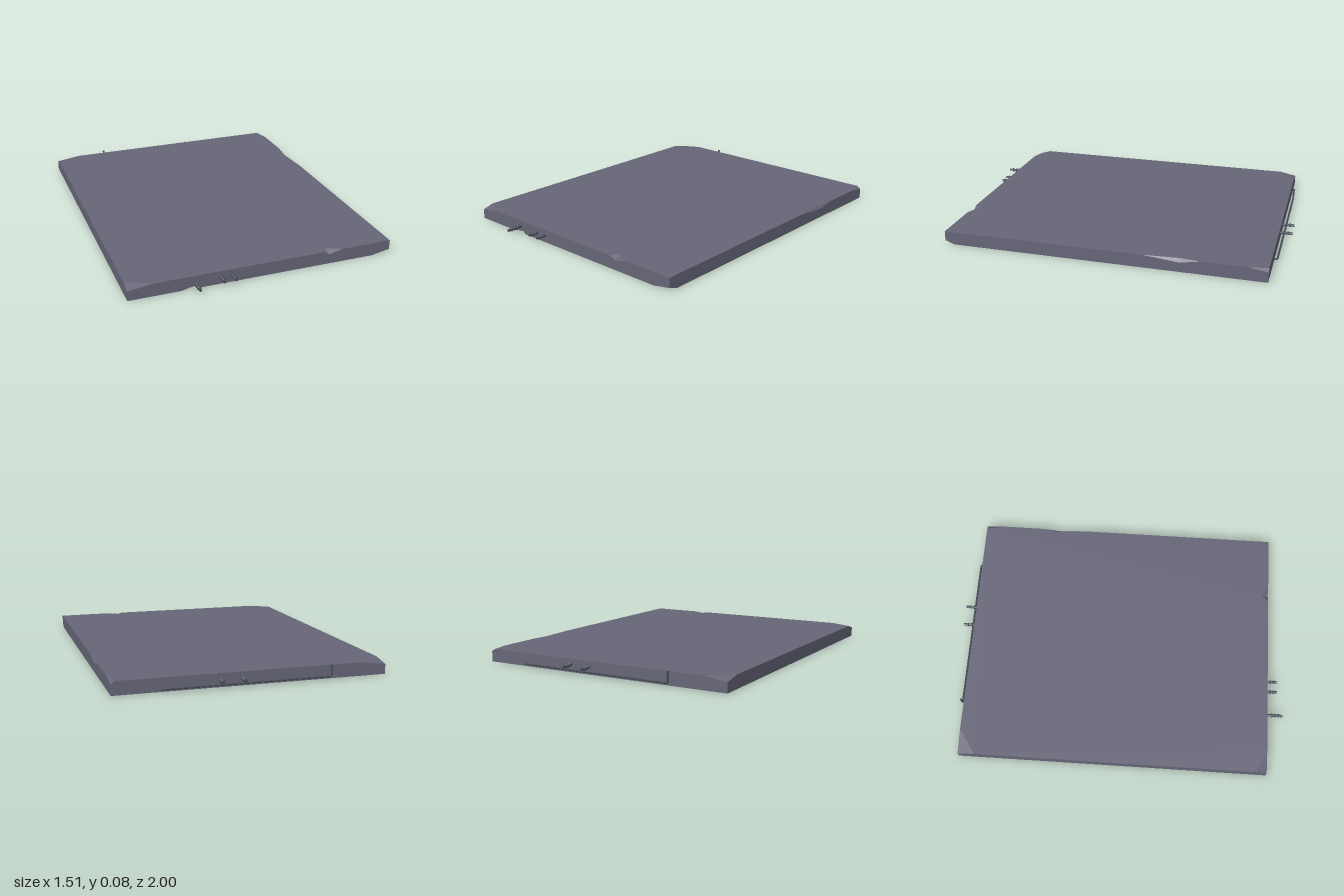
import * as THREE from 'three';

const X = 0.757, TOP = 0.075, FRONT = 0.905, BACK = -0.93;

// Fills a flat polygon (optionally concave) so that it faces along the hint direction.
function addFace(out, pts, hint) {
  const p = pts.map(a => new THREE.Vector3(...a));
  const h = new THREE.Vector3(...hint);
  const drop = hint.map(Math.abs).indexOf(Math.max(...hint.map(Math.abs)));
  const [u, v] = [0, 1, 2].filter(i => i !== drop);
  const flat = pts.map(a => new THREE.Vector2(a[u], a[v]));
  if (THREE.ShapeUtils.isClockWise(flat)) { flat.reverse(); p.reverse(); }
  for (const [i, j, k] of THREE.ShapeUtils.triangulateShape(flat, [])) {
    const n = p[j].clone().sub(p[i]).cross(p[k].clone().sub(p[i]));
    const tri = n.dot(h) < 0 ? [p[i], p[k], p[j]] : [p[i], p[j], p[k]];
    tri.forEach(q => out.push(q.x, q.y, q.z));
  }
}

// Slab with broken corners and chipped edges
function slabGeometry() {
  const out = [];
  // Corner chips: three points where the break meets the slab edges
  const fl = [[-0.62, TOP, FRONT], [-X, TOP, 0.84], [-X, 0.055, FRONT]];
  const bl = [[-0.61, TOP, BACK], [-X, TOP, -0.83], [-X, 0.055, BACK]];
  const br = [[0.735, TOP, BACK], [X, TOP, -0.82], [X, 0.06, BACK]];
  const fr = [[0.65, 0, FRONT], [X, 0, 0.85], [X, 0.02, FRONT]];
  // Edge chips: start, end, point on the horizontal face, point on the upright face
  const eTop = [[0.34, TOP, FRONT], [0.46, TOP, FRONT], [0.37, TOP, 0.865], [0.38, 0.055, FRONT]];
  const eSide = [[X, TOP, -0.25], [X, TOP, -0.57], [0.742, TOP, -0.46], [X, 0.055, -0.46]];
  const eLow = [[-0.47, 0, FRONT], [-0.365, 0, FRONT], [-0.38, 0, 0.865], [-0.38, 0.02, FRONT]];

  // Six sides of the slab
  addFace(out, [fl[1], fl[0], eTop[0], eTop[2], eTop[1], [X, TOP, FRONT],
    eSide[0], eSide[2], eSide[1], br[1], br[0], bl[0], bl[1]], [0, 1, 0]);
  addFace(out, [[-X, 0, FRONT], eLow[0], eLow[2], eLow[1], fr[0], fr[1],
    [X, 0, BACK], [-X, 0, BACK]], [0, -1, 0]);
  addFace(out, [[-X, 0, FRONT], eLow[0], eLow[3], eLow[1], fr[0], fr[2],
    [X, TOP, FRONT], eTop[1], eTop[3], eTop[0], fl[0], fl[2]], [0, 0, 1]);
  addFace(out, [[-X, 0, BACK], [X, 0, BACK], br[2], br[0], bl[0], bl[2]], [0, 0, -1]);
  addFace(out, [fr[2], fr[1], [X, 0, BACK], br[2], br[1], eSide[1], eSide[3],
    eSide[0], [X, TOP, FRONT]], [1, 0, 0]);
  addFace(out, [[-X, 0, BACK], [-X, 0, FRONT], fl[2], fl[1], bl[1], bl[2]], [-1, 0, 0]);

  // Broken surfaces
  addFace(out, fl, [-0.5, 1, 0.5]);
  addFace(out, bl, [-0.5, 1, -0.5]);
  addFace(out, br, [0.5, 1, -0.5]);
  addFace(out, fr, [0.5, -1, 0.5]);
  for (const [chip, hint] of [[eTop, [0, 1, 0.9]], [eSide, [0.9, 1, 0]], [eLow, [0, -1, 0.9]]]) {
    addFace(out, [chip[0], chip[2], chip[3]], hint);
    addFace(out, [chip[1], chip[2], chip[3]], hint);
  }
  const g = new THREE.BufferGeometry();
  g.setAttribute('position', new THREE.Float32BufferAttribute(out, 3));
  g.computeVertexNormals();
  return g;
}

// Reinforcing rod with raised ribs, standing along +y from 0 to length
function rodGeometry(length, ribs) {
  const r = 0.008, rib = 0.012, prof = [[0, 0], [r, 0]];
  for (const y of ribs) prof.push([r, y - 0.005], [rib, y - 0.002], [rib, y + 0.002], [r, y + 0.005]);
  prof.push([r, length], [0, length]);
  return new THREE.LatheGeometry(prof.map(a => new THREE.Vector2(...a)), 8);
}

export function createModel() {
  const model = new THREE.Group();
  const concrete = new THREE.MeshStandardMaterial({ color: 0x666678, flatShading: true });
  const steel = new THREE.MeshStandardMaterial({ color: 0x4c4f5a, flatShading: true });
  const add = (name, geometry, material) => {
    const mesh = new THREE.Mesh(geometry, material);
    mesh.name = name;
    model.add(mesh);
    return mesh;
  };

  add('slab', slabGeometry(), concrete);

  // Straight rods sticking out of the front and back: x, tip z, rib positions
  const sunk = 0.02;
  const rods = [
    ['frontRod', -0.397, 1.0, [0.045, 0.065, 0.085]],
    ['frontRod', -0.25, 0.965, [0.035, 0.055]],
    ['frontRod', -0.186, 0.965, [0.035, 0.055]],
    ['backRod', 0.07, -1.0, [0.035, 0.06]],
    ['backRod', 0.19, -1.0, [0.035, 0.06]],
  ];
  for (const [name, x, tip, ribs] of rods) {
    const s = Math.sign(tip), start = s > 0 ? FRONT : BACK;
    const rod = add(name, rodGeometry(Math.abs(tip - start) + sunk, ribs.map(y => y + sunk - 0.015)), steel);
    rod.rotation.x = s * Math.PI / 2;
    rod.position.set(x, 0.042, start - s * sunk);
  }

  // Bent rod leaving the back, running sideways and turning up at its end
  const V = (x, y, z) => new THREE.Vector3(x, y, z);
  const z = -0.948, y = 0.017;
  const path = new THREE.CurvePath();
  path.add(new THREE.LineCurve3(V(0.497, y, -0.91), V(0.497, y, -0.935)));
  path.add(new THREE.QuadraticBezierCurve3(V(0.497, y, -0.935), V(0.497, y, z), V(0.48, y, z)));
  path.add(new THREE.LineCurve3(V(0.48, y, z), V(-0.42, y, z)));
  path.add(new THREE.QuadraticBezierCurve3(V(-0.42, y, z), V(-0.43, y, z), V(-0.43, y + 0.01, z)));
  path.add(new THREE.LineCurve3(V(-0.43, y + 0.01, z), V(-0.43, 0.079, z)));
  add('bentRod', new THREE.TubeGeometry(path, 220, 0.006, 6), steel);
  const cap = add('bentRodEnd', new THREE.CylinderGeometry(0.007, 0.007, 0.008, 6), steel);
  cap.position.set(-0.43, 0.076, z);

  return model;
}
